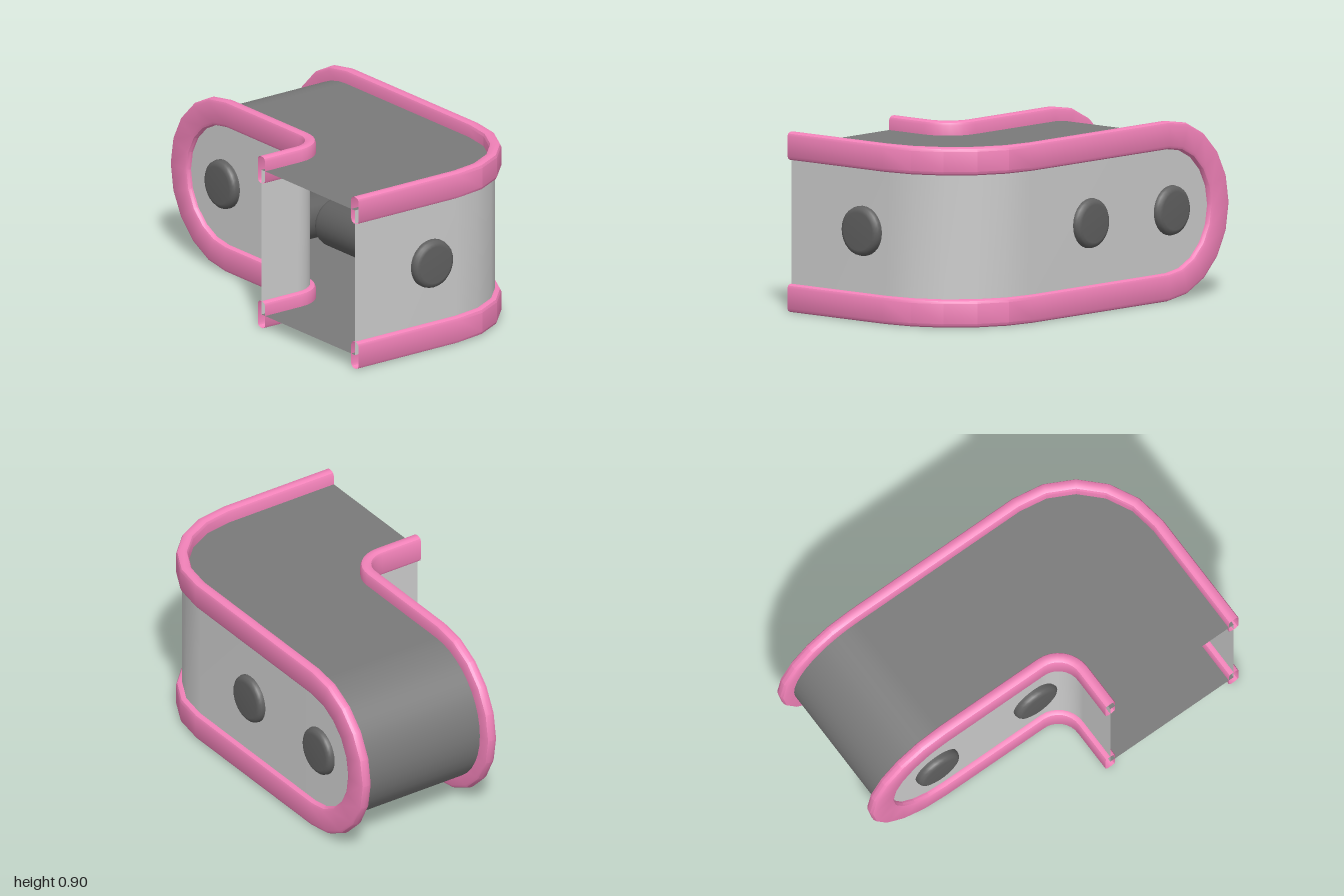
import * as THREE from 'three';
import { toCreasedNormals } from 'three/addons/utils/BufferGeometryUtils.js';

const MID = 0.45, R = 0.38, END_X = -0.55, OPEN_Z = 0.585;
const OUTER = { cx: 0.45, cz: -0.045, r: 0.505, steps: 5 };
const INNER = { cx: 0.05, cz: 0.355, r: 0.15, steps: 8 };

const mat = (color) => new THREE.MeshStandardMaterial({ color, side: THREE.DoubleSide });

// Plan line of a side wall: open end, corner arc, then straight to the round end
function plan(w) {
  const pts = [{ x: w.cx + w.r, z: OPEN_Z, nx: 1, nz: 0 }];
  for (let i = 0; i <= w.steps; i++) {
    const a = (i / w.steps) * Math.PI / 2, c = Math.cos(a), s = Math.sin(a);
    pts.push({ x: w.cx + w.r * c, z: w.cz - w.r * s, nx: c, nz: -s });
  }
  pts.push({ x: END_X, z: w.cz - w.r, nx: 0, nz: -1 });
  return pts;
}

// Grid surface from equally long rows of points
function loft(rows, closed) {
  const n = rows[0].length, index = [];
  for (let i = 0; i + 1 < rows.length; i++) {
    for (let j = 0; j < (closed ? n : n - 1); j++) {
      const a = i * n + j, b = i * n + (j + 1) % n;
      index.push(a, b, a + n, b, b + n, a + n);
    }
  }
  const g = new THREE.BufferGeometry();
  g.setAttribute('position', new THREE.Float32BufferAttribute(rows.flat(2), 3));
  g.setIndex(index);
  g.computeVertexNormals();
  return g;
}

// Thin wall with a rounded left end
function panel(w) {
  const cols = plan(w).map((p) => [p.x, p.z, R]);
  for (let i = 1; i <= 10; i++) {
    const a = (i / 10) * Math.PI / 2;
    cols.push([END_X - R * Math.sin(a), w.cz - w.r, R * Math.cos(a) + 1e-4]);
  }
  return loft(cols.map(([x, z, h]) => [[x, MID + h, z], [x, MID - h, z]]), false);
}

// Rim section: offset across the wall, offset along the wall
const SECTION = [[0.03, 0.05], [0.024, 0.063], [0.01, 0.07], [-0.01, 0.07], [-0.024, 0.063], [-0.03, 0.05],
  [-0.03, -0.05], [-0.024, -0.063], [-0.01, -0.07], [0.01, -0.07], [0.024, -0.063], [0.03, -0.05]];

// Rim along the top, round the left end and back along the bottom
function rim(w) {
  const p = plan(w), path = p.map((q) => ({ ...q, y: MID + R, bx: 0, by: 1 }));
  for (let i = 1; i < 10; i++) {
    const a = (i / 10) * Math.PI, bx = -Math.sin(a), by = Math.cos(a);
    path.push({ x: END_X + R * bx, y: MID + R * by, z: w.cz - w.r, nx: 0, nz: -1, bx, by });
  }
  p.reverse().forEach((q) => path.push({ ...q, y: MID - R, bx: 0, by: -1 }));
  const rows = path.map((q) => SECTION.map(([u, v]) =>
    [q.x + q.nx * u + q.bx * v, q.y + q.by * v, q.z + q.nz * u]));
  return toCreasedNormals(loft(rows, true), 0.5);
}

// Roller with softly rounded ends, lying along y
function roller() {
  const h = 0.4175;
  const half = [[0, h], [0.095, h], [0.111, h - 0.006], [0.121, h - 0.016], [0.125, h - 0.032]];
  const pts = [...half.map(([r, y]) => [r, -y]), ...half.reverse()];
  return new THREE.LatheGeometry(pts.map(([r, y]) => new THREE.Vector2(r, y)), 28);
}

export function createModel() {
  const group = new THREE.Group();
  const wallMat = mat(0xcccccc), beltMat = mat(0x7a7a7a), rimMat = mat(0xf282b9), rollerMat = mat(0x606060);
  const add = (name, geometry, material) => {
    const m = new THREE.Mesh(geometry, material);
    m.name = name;
    group.add(m);
    return m;
  };

  // Side walls and rims
  for (const [name, w] of [['outer', OUTER], ['inner', INNER]]) {
    add(name + 'Wall', panel(w), wallMat);
    add(name + 'Rim', rim(w), rimMat);
  }

  // Belt: top and bottom sheets joined by the round end
  const outline = [...plan(OUTER), ...plan(INNER).reverse()].map((p) => new THREE.Vector2(p.x, p.z));
  const sheet = new THREE.ShapeGeometry(new THREE.Shape(outline)).rotateX(Math.PI / 2);
  add('beltBottom', sheet, beltMat).position.y = MID - R;
  const top = sheet.clone().scale(1, -1, 1);
  top.setIndex([...sheet.index.array].reverse());
  top.computeVertexNormals();
  add('beltTop', top, beltMat).position.y = MID + R;
  const zBack = OUTER.cz - OUTER.r, zFront = INNER.cz - INNER.r;
  const end = new THREE.CylinderGeometry(R, R, zFront - zBack, 20, 1, true, Math.PI, Math.PI).rotateX(Math.PI / 2);
  add('beltEnd', end, beltMat).position.set(END_X, MID, (zFront + zBack) / 2);

  // Rollers: two across the long arm, one across the open arm
  for (const x of [-0.59, 0.01]) {
    const r = add('roller', roller(), rollerMat);
    r.rotation.x = Math.PI / 2;
    r.position.set(x, MID, -0.1675);
  }
  const cross = add('crossRoller', roller(), rollerMat);
  cross.rotation.z = Math.PI / 2;
  cross.position.set(0.5775, MID, 0.11);

  return group;
}
